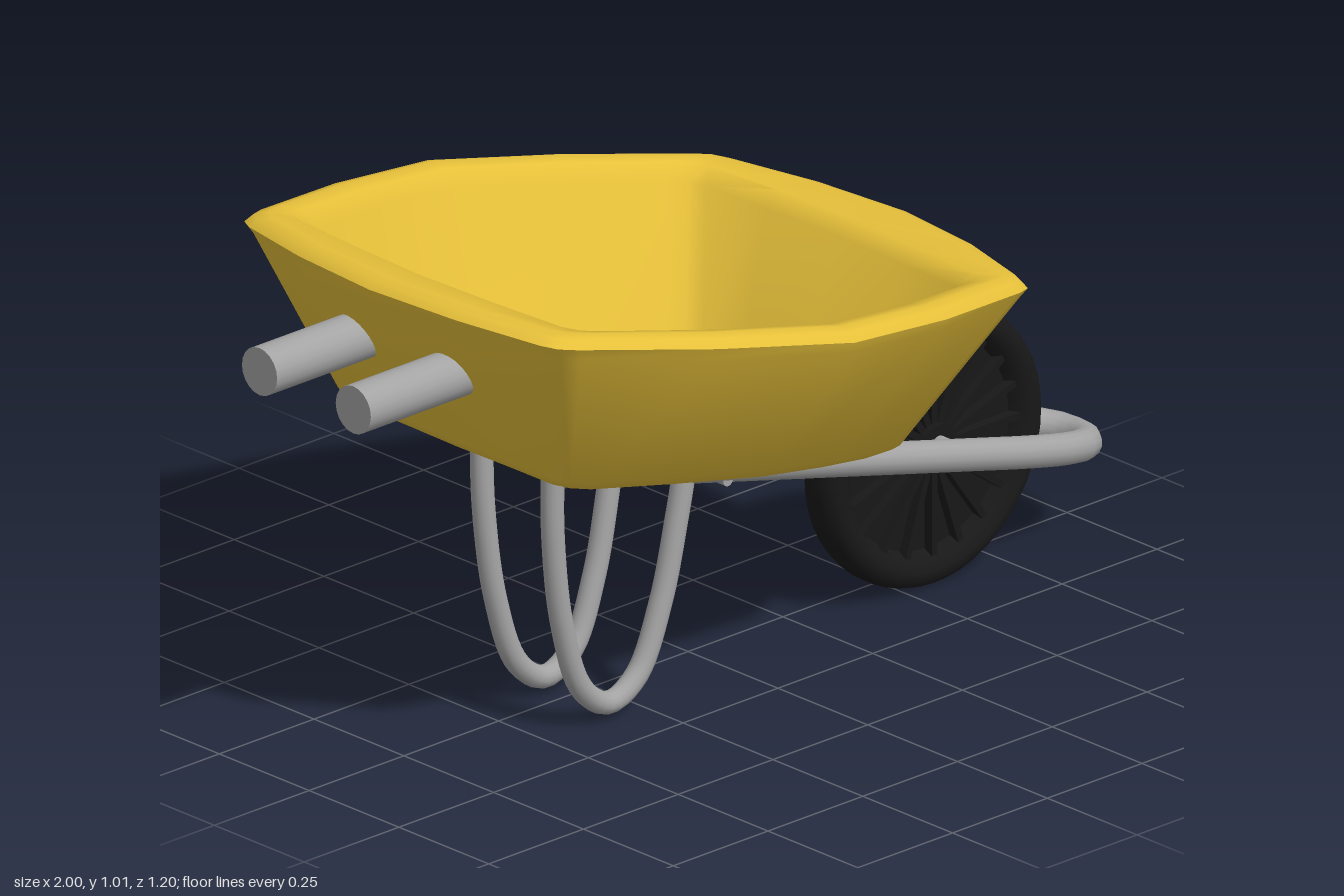
import * as THREE from 'three';
import { toCreasedNormals } from 'three/addons/utils/BufferGeometryUtils.js';

const V = (x, y, z) => new THREE.Vector3(x, y, z);
const yellow = new THREE.MeshStandardMaterial({ color: 0xe6c03a });
const black = new THREE.MeshStandardMaterial({ color: 0x181818 });
const grey = new THREE.MeshStandardMaterial({ color: 0xa4a4a4 });

function add(parent, name, geo, mat) {
  const mesh = new THREE.Mesh(geo, mat);
  mesh.name = name;
  parent.add(mesh);
  return mesh;
}

// Straight capped rod between two points
function rod(parent, name, a, b, r, mat = grey) {
  const mesh = add(parent, name, new THREE.CylinderGeometry(r, r, a.distanceTo(b), 20), mat);
  mesh.position.copy(a).lerp(b, 0.5);
  mesh.quaternion.setFromUnitVectors(V(0, 1, 0), b.clone().sub(a).normalize());
}

// Smooth tube through points, with rounded ends
function bentTube(parent, name, points, r) {
  const curve = new THREE.CatmullRomCurve3(points, false, 'centripetal');
  add(parent, name, new THREE.TubeGeometry(curve, 64, r, 14), grey);
  for (const p of [points[0], points[points.length - 1]]) {
    add(parent, name + 'End', new THREE.SphereGeometry(r, 14, 8), grey).position.copy(p);
  }
}

// Eight-sided tub outline with bowed sides and rounded corners
const MID_X = -0.13;
function outline([xb, xbc, xfc, xf, zc, zm]) {
  const half = (xEnd, xc) => {
    const s = Math.sign(xc - xEnd);
    return [
      [xEnd, 0],
      [xEnd + (xc - xEnd) * 0.3, zc * 0.48],
      [xc - s * 0.01, zc - 0.05],
      [xc + s * 0.008, zc - 0.018],
      [xc + s * 0.045, zc],
      [xc + (MID_X - xc) * 0.52, zc + (zm - zc) * 0.6],
    ];
  };
  const left = [...half(xb, xbc), [MID_X, zm], ...half(xf, xfc).reverse()];
  const right = left.slice(1, -1).reverse().map(([x, z]) => [x, -z]);
  return [...left, ...right];
}

function tubGeometry() {
  const rimY = (d) => (x) => 0.857 - 0.186 * x + d;
  const floorY = (d) => (x) => 0.485 - 0.2 * x + d;
  // back middle, back corner, front corner, front middle, corner z, middle z
  const loops = [
    [[-0.61, -0.595, 0.22, 0.25, 0.31, 0.345], floorY(0)],
    [[-0.64, -0.625, 0.26, 0.29, 0.342, 0.375], floorY(0.025)],
    [[-0.83, -0.75, 0.475, 0.58, 0.445, 0.593], rimY(-0.037)],
    [[-0.842, -0.765, 0.49, 0.592, 0.455, 0.602], rimY(-0.014)],
    [[-0.828, -0.75, 0.475, 0.575, 0.445, 0.588], rimY(0.003)],
    [[-0.80, -0.725, 0.45, 0.545, 0.43, 0.565], rimY(0.01)],
    [[-0.71, -0.672, 0.392, 0.43, 0.415, 0.53], rimY(0.004)],
    [[-0.67, -0.645, 0.365, 0.39, 0.395, 0.505], rimY(-0.028)],
    [[-0.58, -0.57, 0.285, 0.3, 0.32, 0.39], floorY(0.055)],
    [[-0.565, -0.555, 0.272, 0.285, 0.31, 0.375], floorY(0.038)],
  ];
  const pos = [], index = [];
  const n = outline(loops[0][0]).length, last = loops.length - 1;
  for (const [spec, y] of loops) {
    for (const [x, z] of outline(spec)) pos.push(x, y(x), z);
  }
  // Centre points that close the underside and the inner floor
  const under = n * loops.length, floor = under + 1;
  for (const [, y] of [loops[0], loops[last]]) pos.push(MID_X, y(MID_X), 0);
  for (let j = 0; j < n; j++) {
    const k = (j + 1) % n;
    index.push(under, k, j, last * n + j, last * n + k, floor);
    for (let i = 0; i < last; i++) {
      const a = i * n + j, b = i * n + k;
      index.push(a, b, b + n, a, b + n, a + n);
    }
  }
  const geo = new THREE.BufferGeometry();
  geo.setAttribute('position', new THREE.Float32BufferAttribute(pos, 3));
  geo.setIndex(index);
  return toCreasedNormals(geo, 0.85);
}

function buildWheel() {
  const wheel = new THREE.Group();
  wheel.name = 'wheel';
  const side = [[0.001, 0.012], [0.215, 0.012], [0.228, 0.036], [0.25, 0.047],
    [0.268, 0.045], [0.282, 0.032], [0.288, 0.013]];
  const profile = [
    ...side.map(([r, h]) => new THREE.Vector2(r, -h)),
    ...side.slice().reverse().map(([r, h]) => new THREE.Vector2(r, h)),
  ];
  const tyre = add(wheel, 'tyre', toCreasedNormals(new THREE.LatheGeometry(profile, 48), 0.7), black);
  tyre.rotation.x = Math.PI / 2;
  rod(wheel, 'hub', V(0, 0, -0.045), V(0, 0, 0.045), 0.05, black);
  // Radial ribs showing on both faces
  for (let i = 0; i < 20; i++) {
    const a = (i / 20) * Math.PI * 2;
    const rib = add(wheel, 'spoke', new THREE.BoxGeometry(0.18, 0.014, 0.066), black);
    rib.position.set(Math.cos(a) * 0.135, Math.sin(a) * 0.135, 0);
    rib.rotation.z = a;
  }
  return wheel;
}

export function createModel() {
  const model = new THREE.Group();
  model.name = 'wheelbarrow';
  add(model, 'tub', tubGeometry(), yellow);

  // Handle stubs behind the tub
  for (const z of [0.123, -0.138]) rod(model, 'handle', V(-1, 0.833, z), V(-0.68, 0.833, z), 0.049);

  // Front frame: one tube bent round the wheel
  const frameY = (x) => 0.47 - 0.252 * (x + 0.12);
  const path = [[-0.12, 0.1], [0.25, 0.102], [0.6, 0.104], [0.75, 0.104], [0.86, 0.094], [0.93, 0.07], [0.962, 0.035]];
  const near = path.map(([x, z]) => V(x, frameY(x), 0.053 + z));
  const far = path.slice().reverse().map(([x, z]) => V(x, frameY(x), 0.053 - z));
  bentTube(model, 'frontFrame', [...near, V(0.967, frameY(0.967), 0.053), ...far], 0.032);
  rod(model, 'crossBar', V(-0.06, 0.432, 0.175), V(-0.06, 0.432, -0.09), 0.013);

  // Wheel on its axle
  const wheel = buildWheel();
  wheel.position.set(0.567, 0.293, 0.055);
  model.add(wheel);
  rod(model, 'axle', V(0.567, 0.302, 0.155), V(0.567, 0.302, -0.045), 0.018);

  // U-shaped legs, bolted through the tub floor
  const legPath = [[-0.475, 0.6], [-0.477, 0.42], [-0.455, 0.23], [-0.405, 0.085], [-0.335, 0.036],
    [-0.26, 0.072], [-0.195, 0.205], [-0.15, 0.37], [-0.115, 0.525]];
  for (const [zTop, zLow] of [[0.125, 0.132], [-0.075, -0.045]]) {
    const pts = legPath.map(([x, y]) => V(x, y, zLow + (zTop - zLow) * (y / 0.6)));
    bentTube(model, 'leg', pts, 0.023);
    for (const x of [-0.475, -0.115]) {
      const y = 0.523 - 0.2 * x;
      rod(model, 'bolt', V(x, y - 0.03, zTop), V(x, y + 0.008, zTop), 0.018);
    }
  }
  return model;
}
